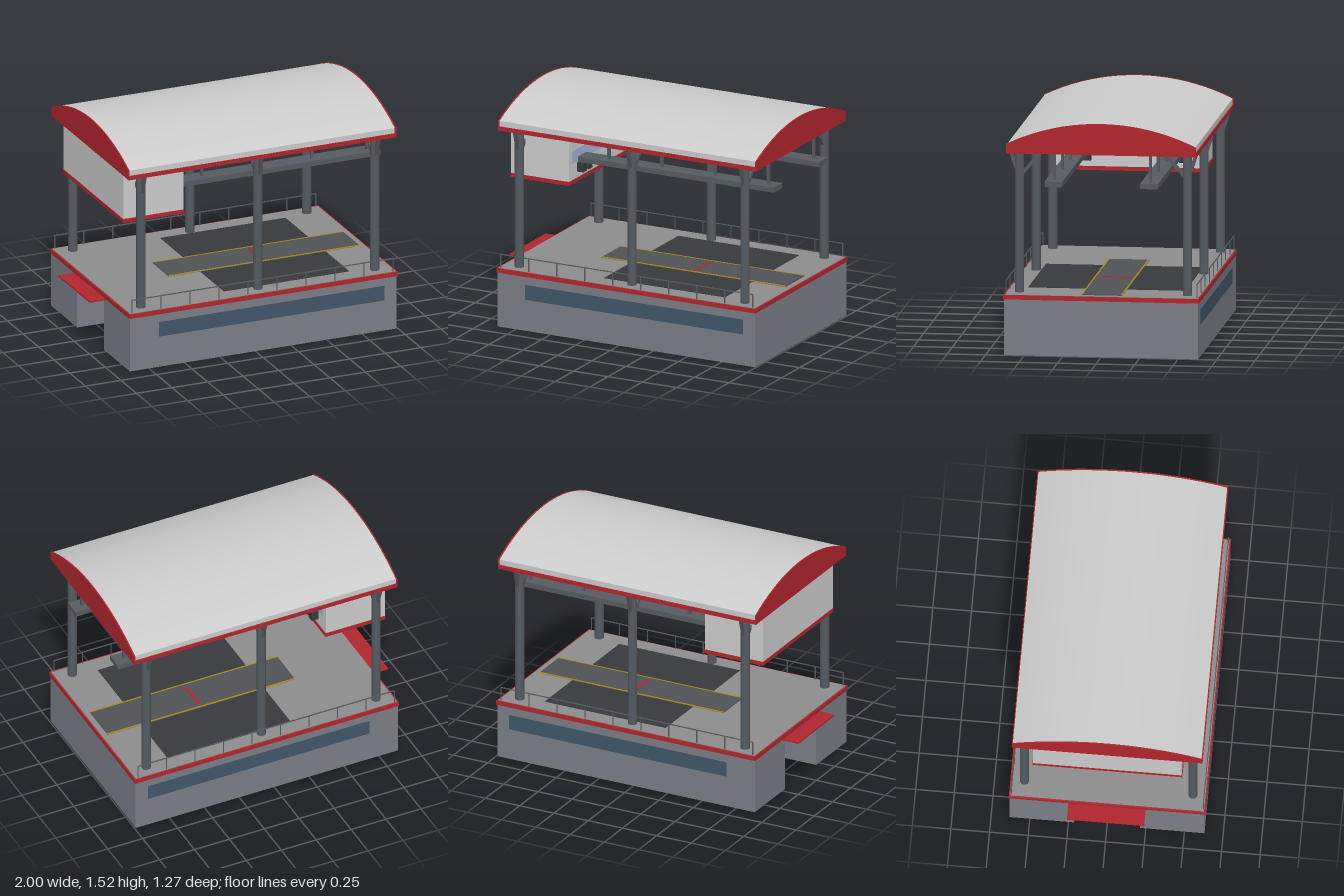
import * as THREE from 'three';

const mat = (color) => new THREE.MeshStandardMaterial({ color });

export function createModel() {
  const model = new THREE.Group();
  const red = mat(0xb0262d), wall = mat(0x7a7e86), grey = mat(0xcccccc), steel = mat(0x555b62);
  const deckGrey = mat(0x8c8c8c), dark = mat(0x38393c), lane = mat(0x505255);
  const yellow = mat(0xa88a20), tint = mat(0x40566a), glass = mat(0xa2b6d2);

  function add(name, geometry, material) {
    const mesh = new THREE.Mesh(geometry, material);
    mesh.name = name;
    model.add(mesh);
    return mesh;
  }
  // Box given by its limits on each axis
  function box(name, x0, x1, y0, y1, z0, z1, material) {
    const mesh = add(name, new THREE.BoxGeometry(x1 - x0, y1 - y0, z1 - z0), material);
    mesh.position.set((x0 + x1) / 2, (y0 + y1) / 2, (z0 + z1) / 2);
    return mesh;
  }
  // Square bar between two points
  function bar(name, a, b, size, material) {
    const from = new THREE.Vector3(...a), to = new THREE.Vector3(...b);
    const mesh = add(name, new THREE.BoxGeometry(size, size, from.distanceTo(to)), material);
    mesh.position.copy(from).lerp(to, 0.5);
    mesh.lookAt(to);
    return mesh;
  }

  // Base with an entrance recess in the right end
  const plan = new THREE.Shape([
    [-0.885, -0.63], [0.992, -0.63], [0.992, 0.63], [-0.885, 0.63],
    [-0.885, 0.213], [-0.6, 0.213], [-0.6, -0.213], [-0.885, -0.213],
  ].map(([x, y]) => new THREE.Vector2(x, y)));
  add('base', new THREE.ExtrudeGeometry(plan, { depth: 0.365, bevelEnabled: false }).rotateX(-Math.PI / 2), wall);

  // Deck, its red edge and the entrance canopy
  box('deckTrim', -0.89, 0.998, 0.365, 0.394, -0.636, 0.636, red);
  box('deck', -0.88, 0.988, 0.39, 0.397, -0.626, 0.626, deckGrey);
  box('entranceCanopy', -1, -0.87, 0.356, 0.366, -0.25, 0.25, red);

  // Floor markings: dark bay, centre lane, yellow borders, red stop line
  box('bayFloor', -0.17, 0.71, 0.396, 0.4, -0.51, 0.51, dark);
  box('centreLane', -0.39, 0.95, 0.396, 0.403, -0.13, 0.13, lane);
  box('stopLine', 0.27, 0.29, 0.4, 0.405, -0.1, 0.1, red);

  // Arched roof, solid down to its flat ceiling
  const archRadius = 1.4, half = 0.61, crest = 1.522;
  const sweep = Math.asin(half / archRadius);
  const outline = [new THREE.Vector2(-half, 1.32), new THREE.Vector2(half, 1.32)];
  const steps = 20;
  for (let i = 0; i <= steps; i++) {
    const a = sweep * (1 - (2 * i) / steps);
    outline.push(new THREE.Vector2(archRadius * Math.sin(a), crest - archRadius * (1 - Math.cos(a))));
  }
  const profile = new THREE.Shape(outline);
  function arch(name, x0, x1, scale, material) {
    const geometry = new THREE.ExtrudeGeometry(profile, { depth: x1 - x0, bevelEnabled: false });
    geometry.rotateY(Math.PI / 2).translate(x0, -1.32, 0).scale(1, scale, scale).translate(0, 1.32, 0);
    add(name, geometry, material);
  }
  arch('roof', -0.88, 0.987, 1, grey);
  arch('roofEndRight', -0.888, -0.88, 1.01, red);
  arch('roofEndLeft', 0.987, 0.996, 1.01, red);

  // Upper cabin under the roof
  box('cabin', -0.865, -0.442, 0.998, 1.32, -0.48, 0.48, grey);
  box('cabinTrim', -0.868, -0.438, 0.972, 0.998, -0.485, 0.485, red);
  box('cabinWindow', -0.45, -0.437, 1.11, 1.198, -0.445, 0.445, glass);

  for (const s of [-1, 1]) {
    const side = (name, x0, x1, y0, y1, z0, z1, m) =>
      box(name, x0, x1, y0, y1, Math.min(s * z0, s * z1), Math.max(s * z0, s * z1), m);

    side('laneBorder', -0.39, 0.95, 0.399, 0.405, 0.124, 0.134, yellow);
    side('baseWindow', -0.68, 0.905, 0.21, 0.31, 0.62, 0.634, tint);
    side('roofEdge', -0.888, 0.996, 1.318, 1.346, 0.6, 0.617, red);

    // Columns with inner and outer braces
    for (const x of [-0.77, 0.052, 0.875]) {
      const column = add('column', new THREE.CylinderGeometry(0.03, 0.03, 0.93, 16), steel);
      column.position.set(x, 0.857, s * 0.545);
      bar('innerBrace', [x, 1.175, s * 0.525], [x, 1.325, s * 0.395], 0.022, steel);
      bar('outerBrace', [x, 1.19, s * 0.56], [x, 1.325, s * 0.605], 0.022, steel);
    }

    // Overhead rail on hangers, with a pair of blocks at the cabin end
    side('overheadRail', -0.442, 0.992, 1.105, 1.14, 0.253, 0.368, steel);
    for (const x of [-0.24, 0.147, 0.535, 0.922]) {
      side('railHanger', x - 0.009, x + 0.009, 1.14, 1.322, 0.302, 0.32, steel);
    }
    for (const z of [0.273, 0.35]) {
      side('railBlock', -0.442, -0.394, 1.04, 1.1, z - 0.024, z + 0.024, dark);
    }

    // Deck railing
    side('handrail', -0.868, 0.974, 0.483, 0.489, 0.617, 0.623, steel);
    for (let i = 0; i < 10; i++) {
      const x = -0.865 + i * 0.204;
      side('railingPost', x - 0.003, x + 0.003, 0.395, 0.487, 0.617, 0.623, steel);
    }
  }
  return model;
}
